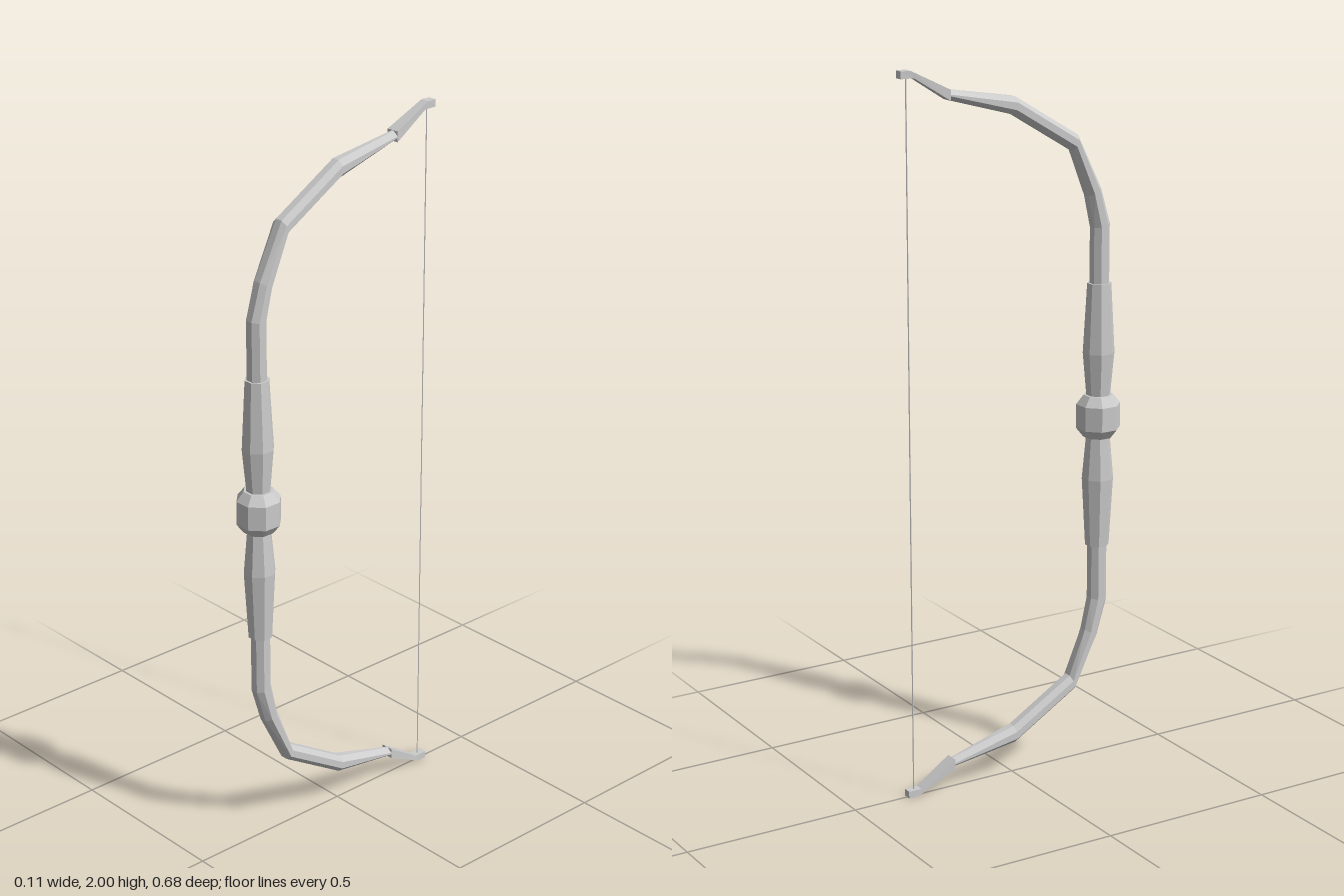
import * as THREE from 'three';

const material = new THREE.MeshStandardMaterial({ color: 0xcccccc, flatShading: true, side: THREE.DoubleSide });
const GRIP_Z = 0.28;

// Outline of a section: a box when k is 1, otherwise an octagon whose flats are k of the width.
function outline(k) {
  if (k === 1) return [[1, 1], [1, -1], [-1, -1], [-1, 1]];
  return [[k, 1], [1, k], [1, -k], [k, -1], [-k, -1], [-1, -k], [-1, k], [-k, 1]];
}

// Skins sections [outer z, outer y, inner z, inner y, half width, k]; side -1 mirrors about y = 1.
function loft(sections, side) {
  const positions = [], index = [];
  const n = outline(sections[0][5]).length;
  const tri = (a, b, c) => index.push(...(side > 0 ? [a, b, c] : [a, c, b]));
  for (const [oz, oy, iz, iy, w, k] of sections) {
    for (const [u, v] of outline(k)) {
      const t = (v + 1) / 2;
      const y = iy + (oy - iy) * t;
      positions.push(u * w, 1 + side * (y - 1), iz + (oz - iz) * t);
    }
  }
  for (let j = 0; j < sections.length - 1; j++) {
    for (let i = 0; i < n; i++) {
      const a = j * n + i, b = j * n + (i + 1) % n;
      tri(a, b, b + n);
      tri(a, b + n, a + n);
    }
  }
  const last = (sections.length - 1) * n;
  for (let i = 1; i < n - 1; i++) {
    tri(0, i + 1, i);
    tri(last, last + i, last + i + 1);
  }
  const geometry = new THREE.BufferGeometry();
  geometry.setAttribute('position', new THREE.Float32BufferAttribute(positions, 3));
  geometry.setIndex(index);
  geometry.computeVertexNormals();
  return geometry;
}

// Eight-sided turned part on the grip axis, from [distance to flat, y] pairs.
function turned(profile) {
  const points = profile.map(([r, y]) => new THREE.Vector2(r / Math.cos(Math.PI / 8), y));
  return new THREE.LatheGeometry(points, 8, Math.PI / 8).translate(0, 0, GRIP_Z);
}

export function createModel() {
  const bow = new THREE.Group();
  bow.name = 'bow';
  const add = (name, geometry) => {
    const mesh = new THREE.Mesh(geometry, material);
    mesh.name = name;
    bow.add(mesh);
  };

  // Curved limb, octagonal, narrowing towards a ridge
  const limb = [
    [0.305, 1.35, 0.255, 1.35, 0.026, 0.42],
    [0.305, 1.54, 0.255, 1.53, 0.026, 0.42],
    [0.275, 1.64, 0.235, 1.62, 0.026, 0.42],
    [0.2, 1.79, 0.185, 1.748, 0.026, 0.42],
    [0.005, 1.908, 0, 1.86, 0.026, 0.42],
    [-0.2, 1.943, -0.195, 1.914, 0.019, 0.15],
  ];
  // Flat tip with a square nock
  const tip = [
    [-0.195, 1.943, -0.195, 1.914, 0.019, 1],
    [-0.31, 2, -0.3, 1.98, 0.013, 1],
    [-0.338, 2, -0.338, 1.98, 0.012, 1],
  ];
  // Swelling handle half
  const handle = [[0, 1], [0.03, 1], [0.031, 1.06], [0.041, 1.18], [0.031, 1.375], [0, 1.375]];
  const mirrored = handle.map(([r, y]) => [r, 2 - y]).reverse();

  for (const [label, side] of [['upper', 1], ['lower', -1]]) {
    add(label + 'Limb', loft(limb, side));
    add(label + 'Tip', loft(tip, side));
    add(label + 'Handle', turned(side > 0 ? handle : mirrored));
  }

  // Bevelled centre band
  add('centreBand', turned([[0, 0.94], [0.038, 0.94], [0.057, 0.966], [0.057, 1.034], [0.038, 1.06], [0, 1.06]]));

  // String between the tips
  add('string', new THREE.CylinderGeometry(0.002, 0.002, 1.97, 4).translate(0, 1, -0.317));

  return bow;
}
